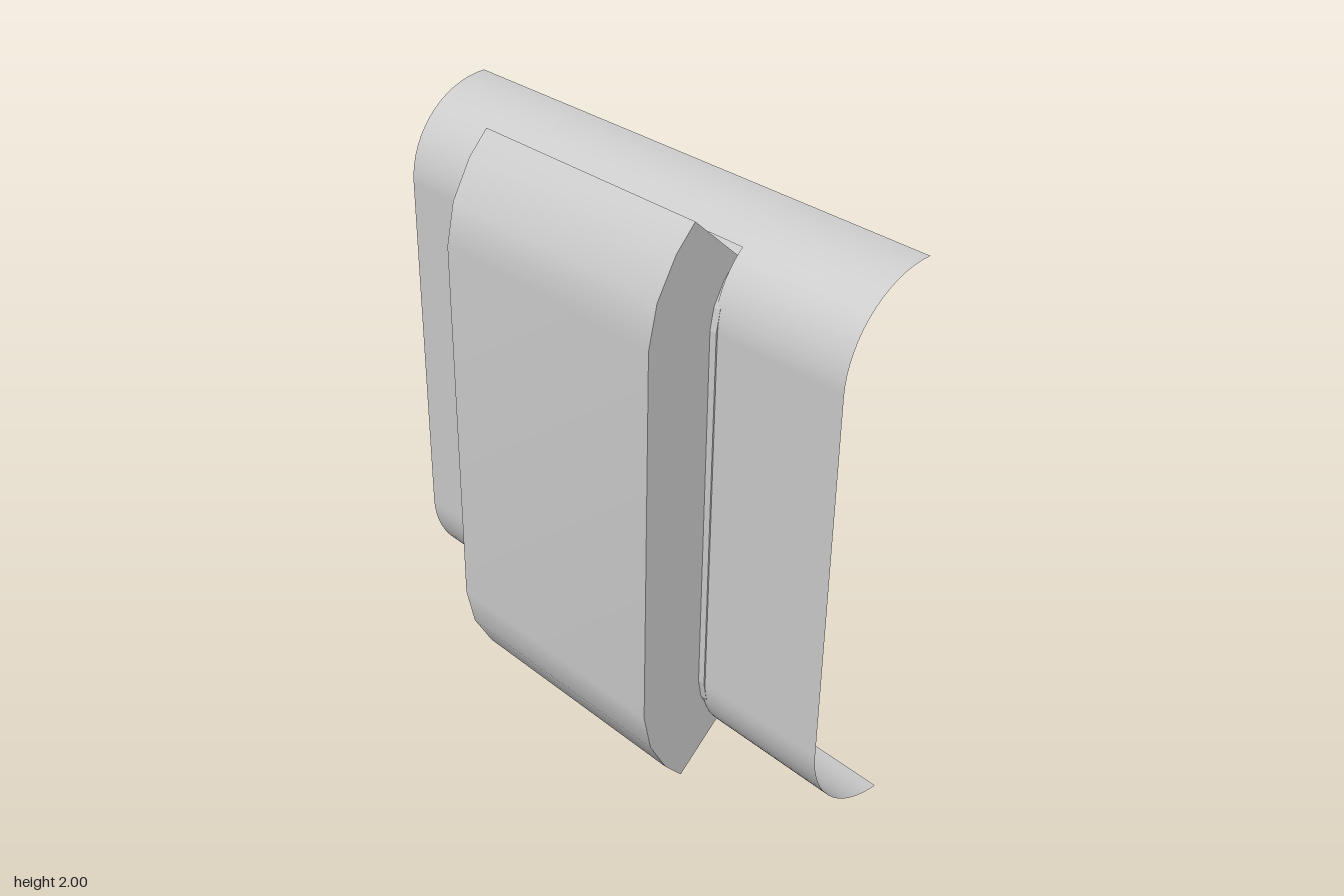
import * as THREE from 'three';

const material = new THREE.MeshStandardMaterial({ color: 0xcccccc, side: THREE.DoubleSide });

// Profiles are lists of [z, y]; the lower half mirrors the upper about y = 1.
const flip = (pts) => pts.map(([z, y]) => [z, 2 - y]).reverse();
const mirrored = (upper) => [...flip(upper), ...upper];

function add(group, name, geometry) {
  const mesh = new THREE.Mesh(geometry, material);
  mesh.name = name;
  group.add(mesh);
}

// Smooth open surface sweeping a profile from x0 to x1.
function ribbon(profile, x0, x1) {
  const positions = [], index = [];
  profile.forEach(([z, y], i) => {
    positions.push(x0, y, z, x1, y, z);
    if (i) {
      const a = 2 * i - 2;
      index.push(a, a + 1, a + 3, a, a + 3, a + 2);
    }
  });
  const g = new THREE.BufferGeometry();
  g.setAttribute('position', new THREE.Float32BufferAttribute(positions, 3));
  g.setIndex(index);
  g.computeVertexNormals();
  return g;
}

const outline = (pts) => new THREE.Shape(pts.map(([z, y]) => new THREE.Vector2(z, y)));

// Solid bar with a side profile, spanning x0 to x1.
function bar(pts, x0, x1) {
  const g = new THREE.ExtrudeGeometry(outline(pts), { depth: x1 - x0, bevelEnabled: false });
  return g.rotateY(-Math.PI / 2).translate(x1, 0, 0);
}

export function createModel() {
  const model = new THREE.Group();
  model.name = 'curvedPanelWithHousing';
  const halfBox = 0.45, halfFlange = 0.475, halfHole = 0.46;

  // Thin curved sheet: flat middle, quarter-round ends sweeping backwards
  const arc = [];
  for (let i = 0; i <= 15; i++) {
    const t = (i * Math.PI) / 30;
    arc.push([-0.28 + 0.315 * Math.cos(t), 1.635 + 0.315 * Math.sin(t)]);
  }
  const sheet = new THREE.Group();
  sheet.name = 'sheet';
  model.add(sheet);
  add(sheet, 'sheetLeft', ribbon(mirrored(arc), halfHole, 0.95));
  add(sheet, 'sheetRight', ribbon(mirrored(arc), -0.95, -halfHole));
  const lip = arc.slice(8); // part beyond the opening
  add(sheet, 'sheetTop', ribbon(lip, -halfHole, halfHole));
  add(sheet, 'sheetBottom', ribbon(flip(lip), -halfHole, halfHole));

  // Hollow housing, open at the back
  const front = [[0.28, 1.66], [0.25, 1.8], [0.18, 1.925], [0.11, 2]];
  const back = [[0.04, 1.64], [0.027, 1.71], [-0.01, 1.78], [-0.065, 1.84]];
  const housing = new THREE.Group();
  housing.name = 'housing';
  model.add(housing);
  add(housing, 'housingFront', ribbon(mirrored(front), -halfBox, halfBox));
  const end = [front[3], back[3]];
  add(housing, 'housingTop', ribbon(end, -halfBox, halfBox));
  add(housing, 'housingBottom', ribbon(flip(end), -halfBox, halfBox));
  const sideOutline = [...mirrored(front), ...mirrored(back).reverse()];
  for (const s of [-1, 1]) {
    const side = new THREE.ShapeGeometry(outline(sideOutline));
    side.rotateY(-Math.PI / 2).translate(s * halfBox, 0, 0);
    add(housing, s > 0 ? 'housingLeft' : 'housingRight', side);
  }

  // Narrow flange framing the opening
  const outer = [[0.04, 1.64], [0.027, 1.71], [-0.01, 1.78], [-0.083, 1.865]];
  const inner = [[0.018, 1.632], [0.006, 1.7], [-0.029, 1.768], [-0.096, 1.848]];
  const flange = new THREE.Group();
  flange.name = 'flange';
  model.add(flange);
  const band = [...mirrored(outer), ...mirrored(inner).reverse()];
  add(flange, 'flangeLeft', bar(band, halfBox, halfFlange));
  add(flange, 'flangeRight', bar(band, -halfFlange, -halfBox));
  const tip = [back[3], outer[3], inner[3], [-0.08, 1.83]];
  add(flange, 'flangeTop', bar(tip, -halfBox, halfBox));
  add(flange, 'flangeBottom', bar(flip(tip), -halfBox, halfBox));

  return model;
}
